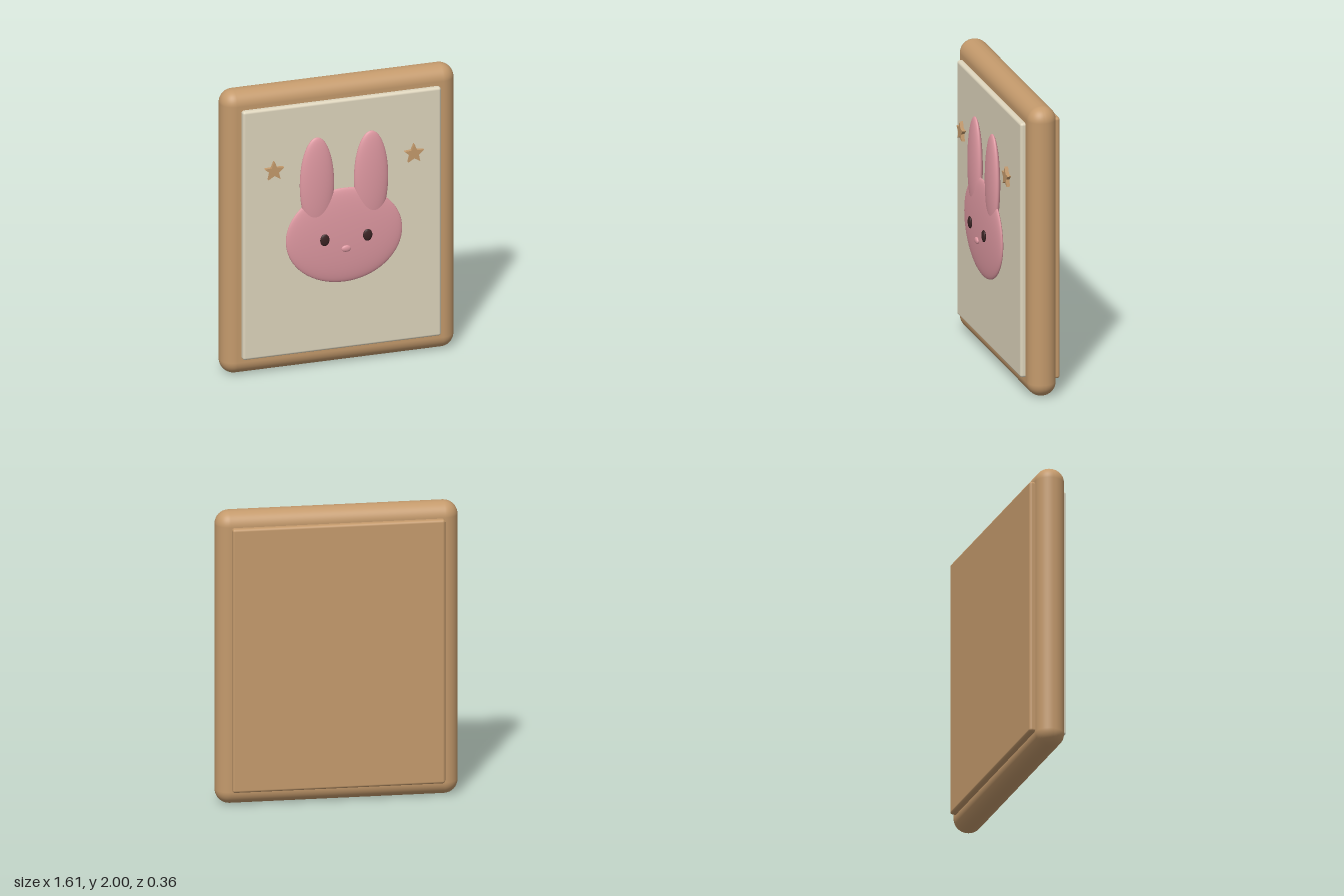
import * as THREE from 'three';
import { RoundedBoxGeometry } from 'three/addons/geometries/RoundedBoxGeometry.js';

const material = (name, color) => {
  const m = new THREE.MeshStandardMaterial({ color });
  m.name = name;
  return m;
};

export function createModel() {
  const group = new THREE.Group();
  const wood = material('wood', 0xc49a6c);
  const cream = material('cream', 0xded5bd);
  const pink = material('pink', 0xde98a1);
  const dark = material('darkBrown', 0x3a2424);

  const add = (name, geometry, mat, x, y, z) => {
    const mesh = new THREE.Mesh(geometry, mat);
    mesh.name = name;
    mesh.position.set(x, y, z);
    group.add(mesh);
    return mesh;
  };
  // Rounded slab between two depths
  const slab = (name, mat, w, h, back, front, r) =>
    add(name, new RoundedBoxGeometry(w, h, front - back, 6, r), mat, 0, 1, (back + front) / 2);
  // Flattened ball with the given radii
  const oval = (name, mat, x, y, z, rx, ry, rz) =>
    add(name, new THREE.SphereGeometry(1, 48, 32), mat, x, y, z).scale.set(rx, ry, rz);

  // Frame with its front and back boards
  slab('frame', wood, 1.61, 2, -0.142, 0.052, 0.094);
  slab('frontPanel', cream, 1.37, 1.76, 0.02, 0.087, 0.018);
  slab('backPanel', wood, 1.412, 1.806, -0.18, -0.11, 0.018);

  // Rabbit face
  oval('head', pink, 0, 0.94, 0.12, 0.402, 0.332, 0.038);
  oval('nose', pink, 0, 0.86, 0.168, 0.033, 0.023, 0.012);

  // Five-pointed star outline
  const points = [];
  for (let i = 0; i < 10; i++) {
    const r = i % 2 ? 0.032 : 0.07;
    const a = Math.PI / 2 + (i * Math.PI) / 5;
    points.push(new THREE.Vector2(r * Math.cos(a), r * Math.sin(a)));
  }
  const star = new THREE.ExtrudeGeometry(new THREE.Shape(points), { depth: 0.024, bevelEnabled: false });

  // Mirrored ears, eyes and stars
  for (const [side, s] of [['left', 1], ['right', -1]]) {
    oval(side + 'Ear', pink, s * 0.187, 1.322, 0.12, 0.118, 0.33, 0.038);
    oval(side + 'Eye', dark, s * 0.148, 0.938, 0.168, 0.032, 0.041, 0.012);
    add(side + 'Star', star, wood, s * 0.483, 1.453, 0.108);
  }
  return group;
}
